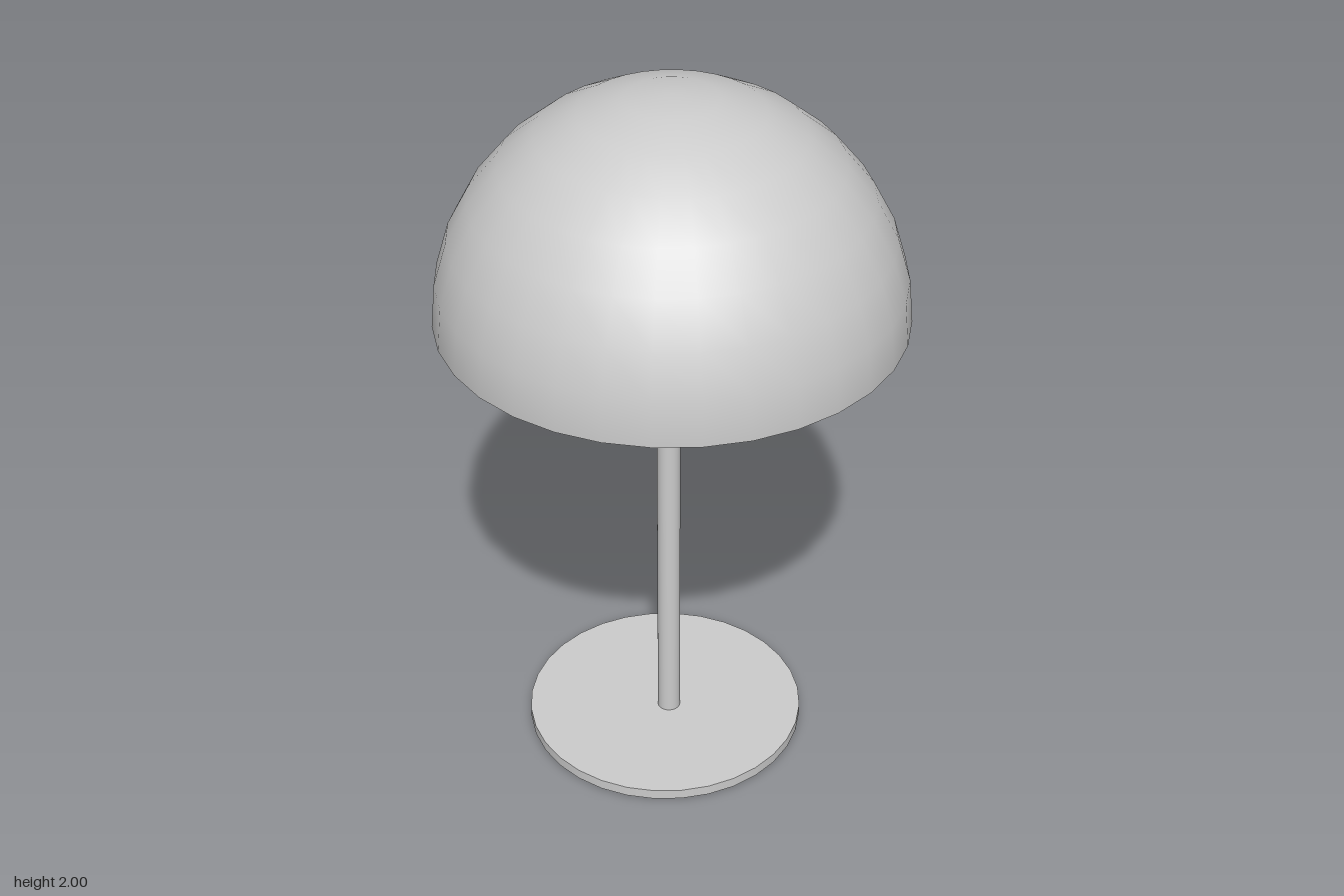
import * as THREE from 'three';

export function createModel() {
  const group = new THREE.Group();
  const material = new THREE.MeshStandardMaterial({ color: 0xcccccc });
  const rimY = 1.38, radius = 0.62;

  const add = (name, geometry, x, y, z) => {
    const mesh = new THREE.Mesh(geometry, material);
    mesh.name = name;
    mesh.position.set(x, y, z);
    group.add(mesh);
    return mesh;
  };

  // Thin round foot, slightly off centre
  add('base', new THREE.CylinderGeometry(0.394, 0.394, 0.03, 32), -0.04, 0.015, -0.008);

  // Slender pole from the foot to the underside of the shade
  add('pole', new THREE.CylinderGeometry(0.032, 0.032, rimY - 0.03, 32, 1, true), -0.016, (rimY + 0.03) / 2, -0.002);

  // Half-sphere shade
  add('shade', new THREE.SphereGeometry(radius, 32, 8, 0, Math.PI * 2, 0, Math.PI / 2), 0, rimY, 0);

  // Flat disc closing the shade from below
  add('shadeUnderside', new THREE.CircleGeometry(radius, 32).rotateX(Math.PI / 2), 0, rimY, 0);

  return group;
}
